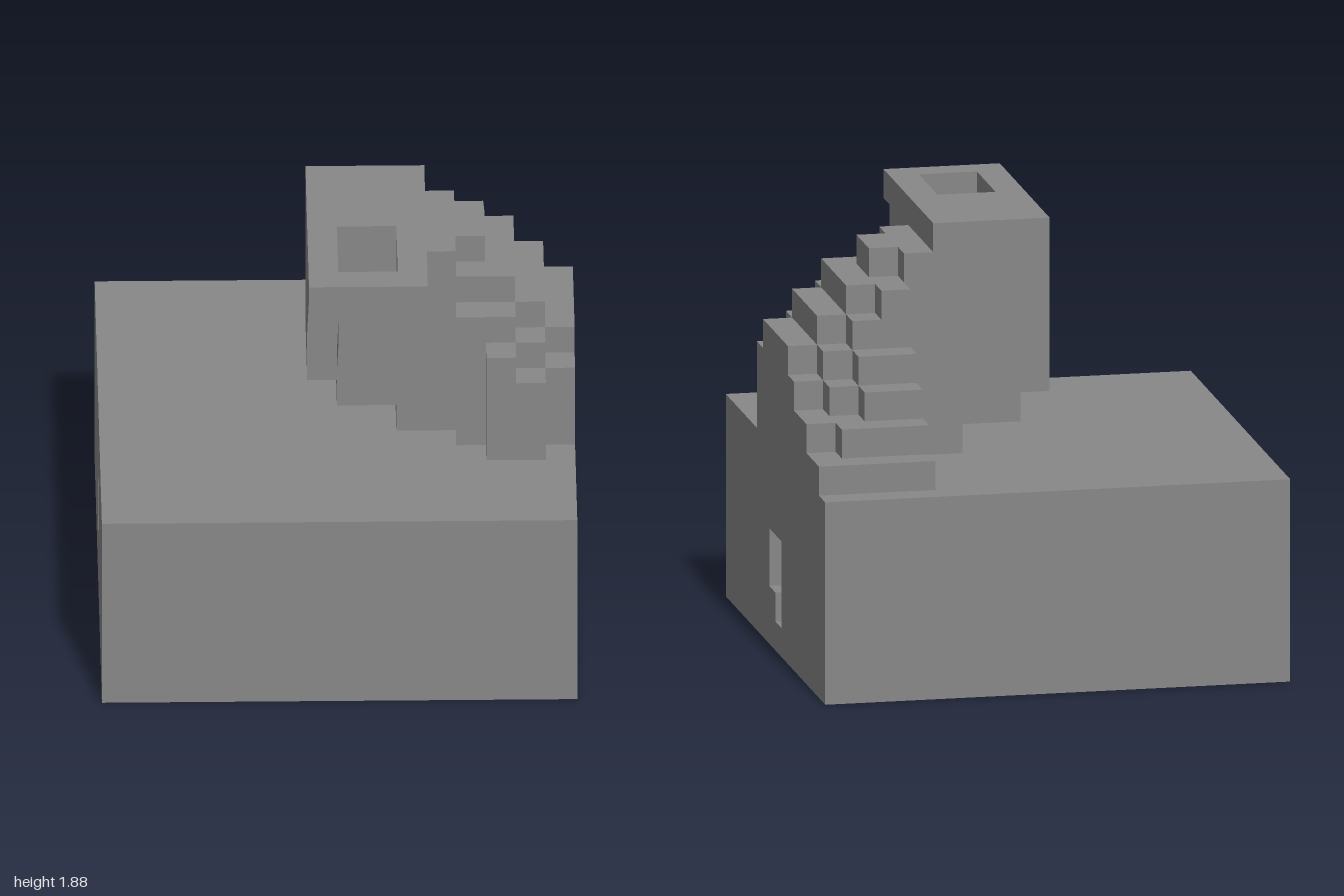
import * as THREE from 'three';

const U = 0.125; // one block

export function createModel() {
  const stone = new THREE.MeshStandardMaterial({ color: 0x888888 });
  stone.name = 'stone';
  const ochre = new THREE.MeshStandardMaterial({ color: 0x896e44 });
  ochre.name = 'ochre';
  const rust = new THREE.MeshStandardMaterial({ color: 0x945c4e });
  rust.name = 'rust';

  const model = new THREE.Group();
  const group = (name) => {
    const g = new THREE.Group();
    g.name = name;
    model.add(g);
    return g;
  };
  // Box between block indices; x and z run 0..16, y starts at the ground
  const block = (parent, name, x0, x1, y0, y1, z0, z1, mat = stone) => {
    const m = new THREE.Mesh(
      new THREE.BoxGeometry((x1 - x0) * U, (y1 - y0) * U, (z1 - z0) * U), mat);
    m.position.set(((x0 + x1) / 2 - 8) * U, ((y0 + y1) / 2) * U, ((z0 + z1) / 2 - 8) * U);
    m.name = name;
    parent.add(m);
  };
  const scaled = (pts) => pts.map(([a, b]) => new THREE.Vector2(a * U, b * U));

  // Base: solid core with a pierced slab on each side
  const base = group('base');
  block(base, 'baseCore', 1, 15, 0, 7, 0, 16);
  const sideSlab = (name, x, hole) => {
    const shape = new THREE.Shape(scaled([[-8, 0], [8, 0], [8, 7], [-8, 7]]));
    shape.holes.push(new THREE.Path(scaled(hole)));
    const geo = new THREE.ExtrudeGeometry(shape, { depth: U, bevelEnabled: false });
    const m = new THREE.Mesh(geo, stone);
    m.rotation.y = Math.PI / 2; // shape x becomes -z
    m.position.x = x * U;
    m.name = name;
    base.add(m);
  };
  sideSlab('leftSlab', 7, [[-1, 2], [0, 2], [0, 1], [1, 1], [1, 4], [-1, 4]]);
  sideSlab('rightSlab', -8, [[-1, 1], [0, 1], [0, 2], [1, 2], [1, 4], [0, 4], [0, 3], [-1, 3]]);
  block(base, 'leftRecessPanel', 15, 15.03, 0.9, 4.1, 6.9, 9.1, ochre);
  block(base, 'rightRecessPanel', 0.97, 1, 0.9, 4.1, 6.9, 9.1, ochre);

  // Stepped hill: [z start, z end, heights of the four columns x 12..16]
  const hill = group('steppedHill');
  const rows = [
    [1, 2, 8, 8, 8, 8],
    [2, 3, 9, 9, 9, 8],
    [3, 4, 10, 10, 9, 9],
    [4, 5, 11, 11, 10, 9],
    [5, 6, 13, 12, 11, 10],
    [6, 10, 13, 13, 12, 11],
    [10, 11, 12, 12, 11, 10],
    [11, 12, 7, 11, 10, 7],
  ];
  for (const [z0, z1, ...heights] of rows) {
    heights.forEach((h, i) => {
      if (h > 7) block(hill, 'hillColumn', 12 + i, 13 + i, 7, h, z0, z1);
    });
  }
  block(hill, 'hillBump', 12, 13, 13, 14, 7, 9);

  // Tower with a stepped underside
  const tower = group('tower');
  for (const [x0, x1, y0, y1] of [[7, 8, 9, 15], [8, 10, 8, 15], [10, 11, 7, 15], [11, 12, 7, 14]]) {
    block(tower, 'towerWall', x0, x1, y0, y1, 6, 10);
  }

  // Overhanging spout with a stepped basin
  const spout = group('spout');
  for (let i = 0; i < 3; i++) {
    block(spout, 'spoutCheek', 7, 8, 11 + i, 15, 10 + i, 11 + i);
    block(spout, 'spoutCheek', 10, 11, 11 + i, 15, 10 + i, 11 + i);
    block(spout, 'spoutStep', 8, 10, 10 + i, 12 + i, 10 + i, 11 + i);
  }
  block(spout, 'spoutLip', 7, 11, 14, 15, 13, 14);

  // Rounded patches on the underside: [x, z, lies along z]
  const patches = group('undersidePatches');
  const L = 1, W = 0.5, C = 0.28;
  const outline = new THREE.Shape(scaled([
    [-L + C, -W], [L - C, -W], [L, -W + C], [L, W - C],
    [L - C, W], [-L + C, W], [-L, W - C], [-L, -W + C],
  ]));
  const patchGeo = new THREE.ExtrudeGeometry(outline, { depth: 0.004, bevelEnabled: false });
  patchGeo.rotateX(Math.PI / 2);
  const spots = [
    [14.5, 8, true], [14.5, 11, true], [10, 10.35, true], [7, 5.5, false], [4, 5.5, false],
    [12, 14.5, false], [7, 13.5, false], [4, 13.5, false], [1.5, 11, true], [1.5, 8, true],
  ];
  for (const [x, z, alongZ] of spots) {
    const m = new THREE.Mesh(patchGeo, rust);
    m.position.set((x - 8) * U, 0.002, (z - 8) * U);
    if (alongZ) m.rotation.y = Math.PI / 2;
    m.name = 'undersidePatch';
    patches.add(m);
  }
  return model;
}
